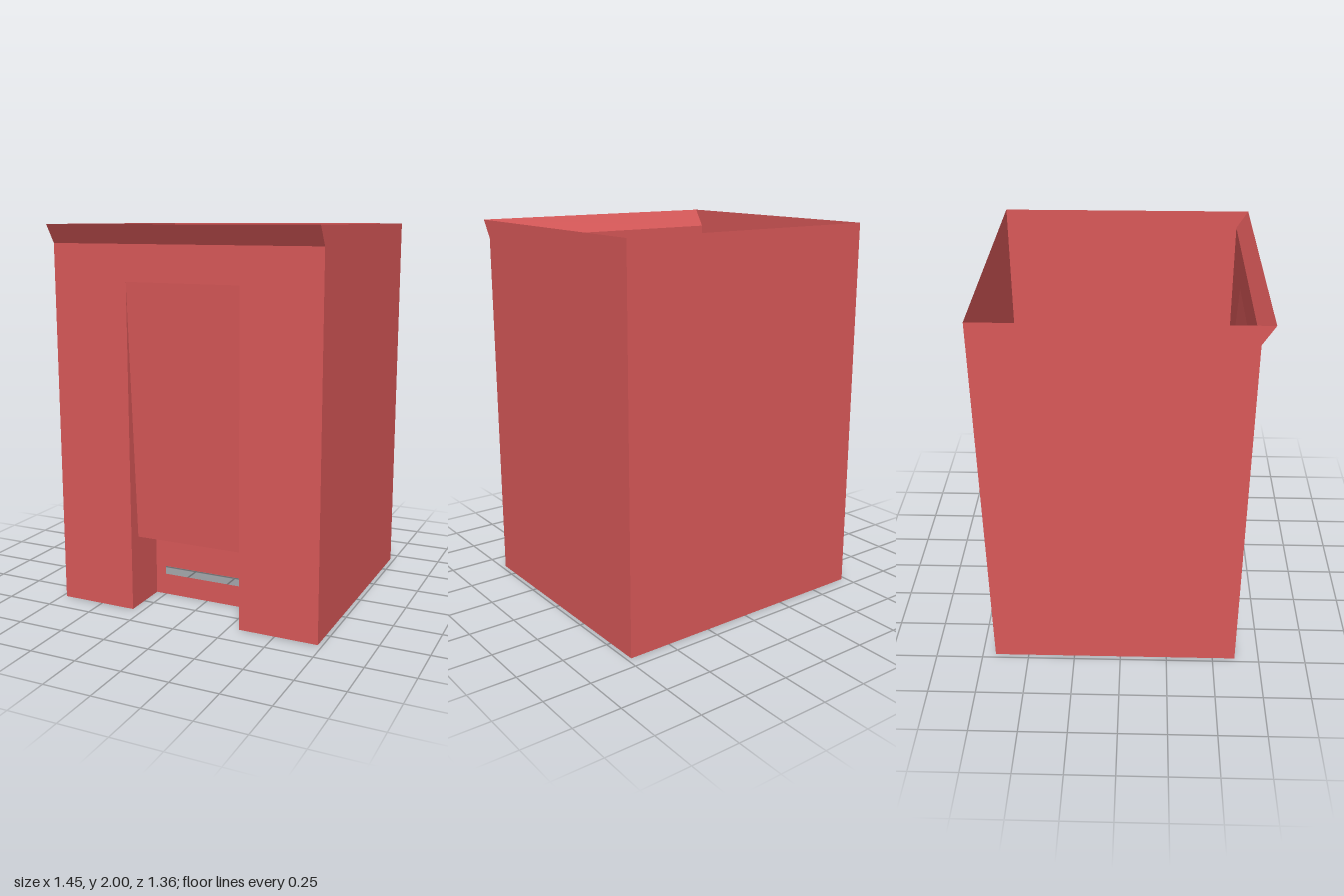
import * as THREE from 'three';

const W = 0.727, H = 2, FRONT = 0.62, BACK = -0.68, LIP = 0.68, LIP_Y = 1.905;
const RW = 0.308, R_TOP = 1.72, R_LOW = 0.38, R_Z = 0.55, NICHE_Z = 0.36;

export function createModel() {
  const group = new THREE.Group();
  const material = new THREE.MeshStandardMaterial({ color: 0xd85858, side: THREE.DoubleSide, flatShading: true });

  // Flat outline (a, b) placed in space by a rule
  function sheet(name, points, place, hole) {
    const shape = new THREE.Shape(points.map(p => new THREE.Vector2(...p)));
    if (hole) shape.holes.push(new THREE.Path(hole.map(p => new THREE.Vector2(...p))));
    const geo = new THREE.ShapeGeometry(shape);
    const pos = geo.attributes.position;
    for (let i = 0; i < pos.count; i++) pos.setXYZ(i, ...place(pos.getX(i), pos.getY(i)));
    geo.computeVertexNormals();
    const mesh = new THREE.Mesh(geo, material);
    mesh.name = name;
    group.add(mesh);
  }
  const rect = (w, y0, y1) => [[-w, y0], [w, y0], [w, y1], [-w, y1]];
  // Side sheet at x, facing dir, from a (z, y) profile
  const side = (name, profile, x, dir) =>
    sheet(name, profile.map(([z, y]) => [-dir * z, y]), (a, b) => [x, b, -dir * a]);
  const lerp = (y, y0, z0, y1, z1) => z0 + (z1 - z0) * (y - y0) / (y1 - y0);

  // Outer shell, open at top and bottom
  sheet('backWall', rect(W, 0, H), (a, b) => [-a, b, BACK]);
  sheet('frontWall', [[-W, 0], [-RW, 0], [-RW, R_TOP], [RW, R_TOP], [RW, 0], [W, 0], [W, LIP_Y], [-W, LIP_Y]],
    (a, b) => [a, b, FRONT]);
  sheet('frontLip', rect(W, LIP_Y, H), (a, b) => [a, b, lerp(b, LIP_Y, FRONT, H, LIP)]);

  // Sloping chute panel and the slotted plate behind its lower opening
  sheet('chutePanel', rect(RW, R_LOW, R_TOP), (a, b) => [a, b, lerp(b, R_LOW, R_Z, R_TOP, FRONT)]);
  sheet('slottedPlate', rect(RW, 0, R_LOW), (a, b) => [a, b, NICHE_Z], rect(0.25, 0.115, 0.16));

  // Side walls and recess cheeks, mirrored
  for (const s of [1, -1]) {
    const label = s > 0 ? 'left' : 'right';
    side(label + 'Wall', [[BACK, 0], [FRONT, 0], [FRONT, LIP_Y], [LIP, H], [BACK, H]], s * W, s);
    side(label + 'RecessCheek',
      [[FRONT, 0], [FRONT, R_TOP], [R_Z, R_LOW], [NICHE_Z, R_LOW], [NICHE_Z, 0]], s * RW, -s);
  }
  return group;
}
